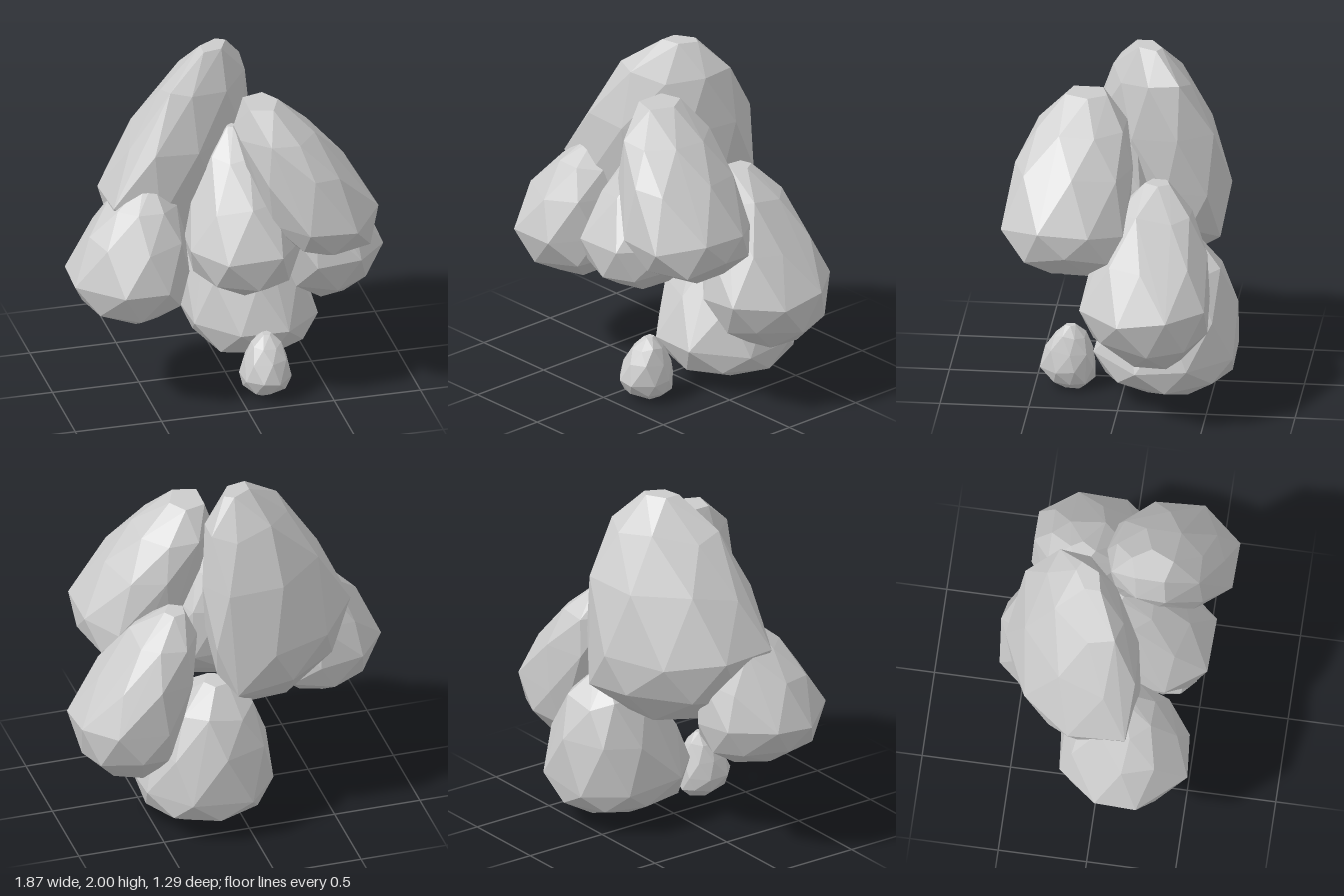
import * as THREE from 'three';
import { ConvexGeometry } from 'three/addons/geometries/ConvexGeometry.js';

// Egg outline: [share of the way from belly to tip (positive) or base (negative), girth]
const OUTLINE = [[1, 0.16], [0.77, 0.54], [0.42, 0.85], [0, 1], [-0.55, 0.87], [-1, 0.4]];

// Small seeded generator, returns -1..1
function seeded(seed) {
  let s = seed;
  return () => {
    s = (s * 16807) % 2147483647;
    return (s / 2147483647) * 2 - 1;
  };
}

// Faceted stone: convex hull around staggered, slightly uneven rings that lean
// from the base through the belly (middle and half widths) to the tip.
// taper above 1 gives a pointed top, below 1 a full one; skew turns the rings diagonal.
function makeStone(name, material, seed, { tip, belly, half, base, taper = 1, skew = 0 }) {
  const rand = seeded(seed);
  const tipPoint = new THREE.Vector3(...tip);
  const bellyPoint = new THREE.Vector3(...belly);
  const basePoint = new THREE.Vector3(...base);
  const unevenness = 0.03 * (tip[1] - base[1]);
  const points = [];
  OUTLINE.forEach(([along, girth], r) => {
    const isEnd = Math.abs(along) === 1;
    const center = bellyPoint.clone().lerp(along > 0 ? tipPoint : basePoint, Math.abs(along));
    const size = along > 0 ? girth ** taper : girth;
    const sides = isEnd ? 5 : 8;
    for (let i = 0; i < sides; i++) {
      const t = ((i + (r % 2) * 0.5 + rand() * 0.15) / sides) * Math.PI * 2;
      const dx = THREE.MathUtils.clamp(1.05 * Math.cos(t), -1, 1);
      const dz = THREE.MathUtils.clamp(1.05 * Math.sin(t + skew), -1, 1);
      points.push(new THREE.Vector3(
        center.x + half[0] * size * dx,
        center.y + (isEnd ? 0 : rand() * unevenness),
        center.z + half[1] * size * dz));
    }
  });
  const stone = new THREE.Mesh(new ConvexGeometry(points), material);
  stone.name = name;
  return stone;
}

export function createModel() {
  const group = new THREE.Group();
  group.name = 'stoneCluster';
  const material = new THREE.MeshStandardMaterial({ color: 0xcccccc, flatShading: true });

  group.add(
    // Tall slab-like stone at the back
    makeStone('tallBackStone', material, 1013, {
      tip: [-0.04, 2, -0.12], belly: [-0.27, 1.16, -0.175], half: [0.45, 0.405],
      base: [-0.22, 0.75, -0.21], taper: 0.9, skew: -0.48 }),
    // Ring of leaning stones around the front and sides
    makeStone('rightOuterStone', material, 8932, {
      tip: [-0.47, 1.33, 0.1], belly: [-0.61, 0.79, 0.16], half: [0.33, 0.37],
      base: [-0.56, 0.52, 0.14] }),
    makeStone('middleFrontStone', material, 16851, {
      tip: [0.02, 1.57, 0.04], belly: [0.04, 0.95, 0.22], half: [0.33, 0.37],
      base: [0.05, 0.67, 0.24], taper: 1.4 }),
    makeStone('leftUpperStone', material, 24770, {
      tip: [0.15, 1.78, 0.21], belly: [0.47, 1.13, 0.295], half: [0.31, 0.365],
      base: [0.53, 0.87, 0.26], taper: 0.6 }),
    makeStone('leftLowerStone', material, 32689, {
      tip: [0.35, 1.33, -0.21], belly: [0.62, 0.7, -0.17], half: [0.31, 0.37],
      base: [0.62, 0.36, -0.22], taper: 0.9 }),
    // Wide stone carrying the cluster
    makeStone('baseStone', material, 40608, {
      tip: [0.15, 0.92, -0.35], belly: [0.195, 0.27, -0.25], half: [0.375, 0.41],
      base: [0.22, 0.05, -0.27], taper: 0.9 }),
    // Small loose stone in front
    makeStone('pebble', material, 48527, {
      tip: [0.16, 0.37, 0.3], belly: [0.15, 0.13, 0.315], half: [0.14, 0.155],
      base: [0.15, 0, 0.28], taper: 0.9 }),
  );
  return group;
}
